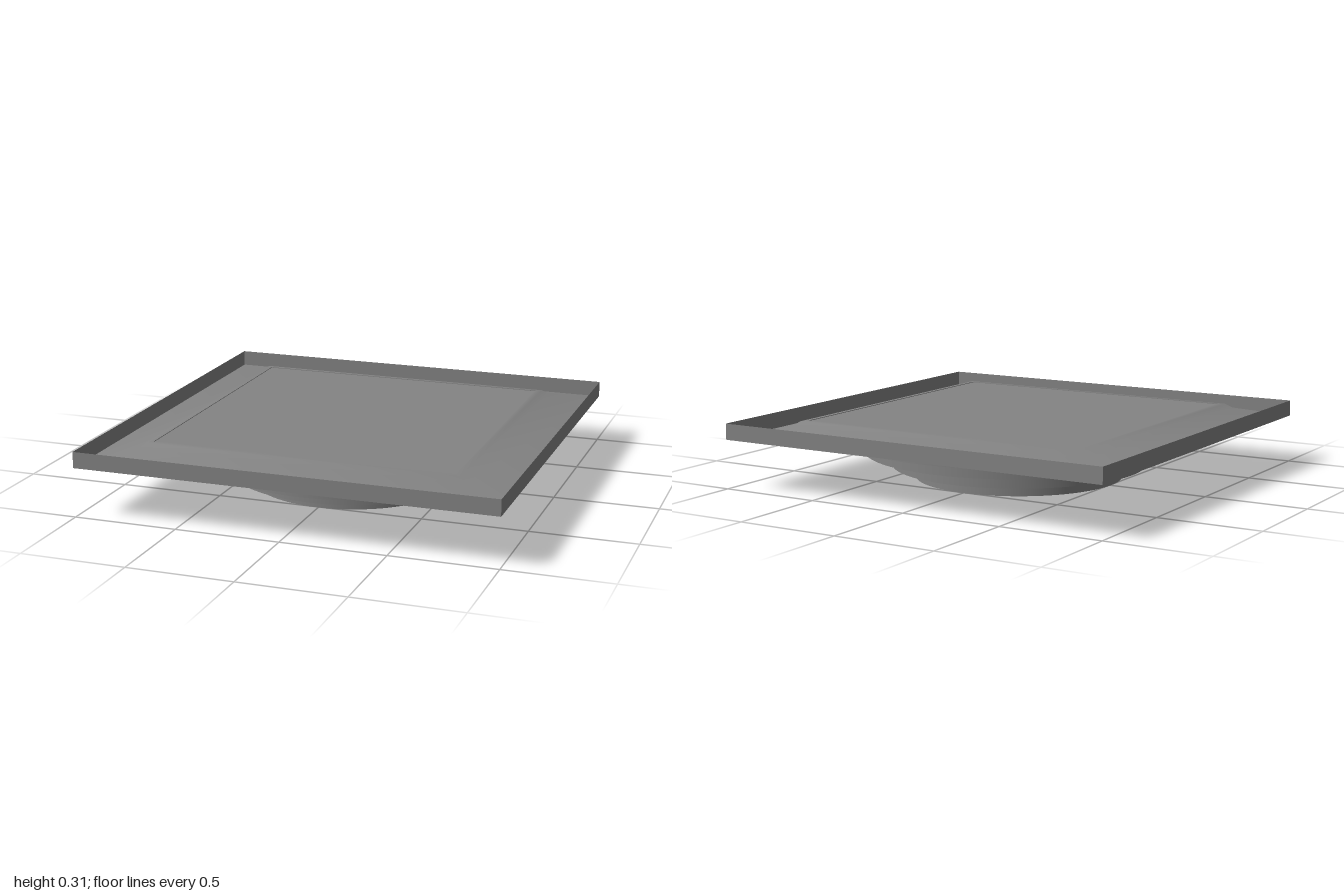
import * as THREE from 'three';

const material = new THREE.MeshStandardMaterial({ color: 0x848484 });
const thinMaterial = new THREE.MeshStandardMaterial({ color: 0x848484, side: THREE.DoubleSide });

// Square surface swept through [half width, height] pairs, with softly blended normals
function softSweep(profile) {
  const points = profile.map(([half, y]) => new THREE.Vector2(half * Math.SQRT2, y));
  return new THREE.LatheGeometry(points, 4, Math.PI / 4);
}

// The same sweep with flat faces
function flatSweep(profile) {
  const geometry = softSweep(profile).toNonIndexed();
  geometry.computeVertexNormals();
  return geometry;
}

export function createModel() {
  const group = new THREE.Group();
  const add = (name, geometry, mat = material) => {
    const mesh = new THREE.Mesh(geometry, mat);
    mesh.name = name;
    group.add(mesh);
    return mesh;
  };

  // Round stepped base: [radius, bottom, top]
  const steps = [
    [0.507, 0, 0.06],
    [0.62, 0.06, 0.13],
    [0.755, 0.13, 0.2],
    [0.88, 0.2, 0.24],
  ];
  steps.forEach(([radius, bottom, top], i) => {
    const step = add(`baseStep${i + 1}`, new THREE.CylinderGeometry(radius, radius, top - bottom, 96));
    step.position.y = (bottom + top) / 2;
  });

  // Square slab: underside with a shallow recess inside its border, and a thin upright rim
  add('underside', flatSweep([[0, 0.238], [0.9, 0.238], [0.9, 0.235], [1, 0.235]]));
  add('rimWall', flatSweep([[1, 0.235], [1, 0.312]]), thinMaterial);

  // Tray floor rising gently from the rim, over a soft bevel, to a barely sunken panel
  add('slopedFloor', softSweep([[1, 0.235], [0.782, 0.288], [0.752, 0.309], [0.725, 0.311]]));
  add('centrePanel', flatSweep([[0.725, 0.311], [0.725, 0.308], [0, 0.308]]));

  return group;
}
